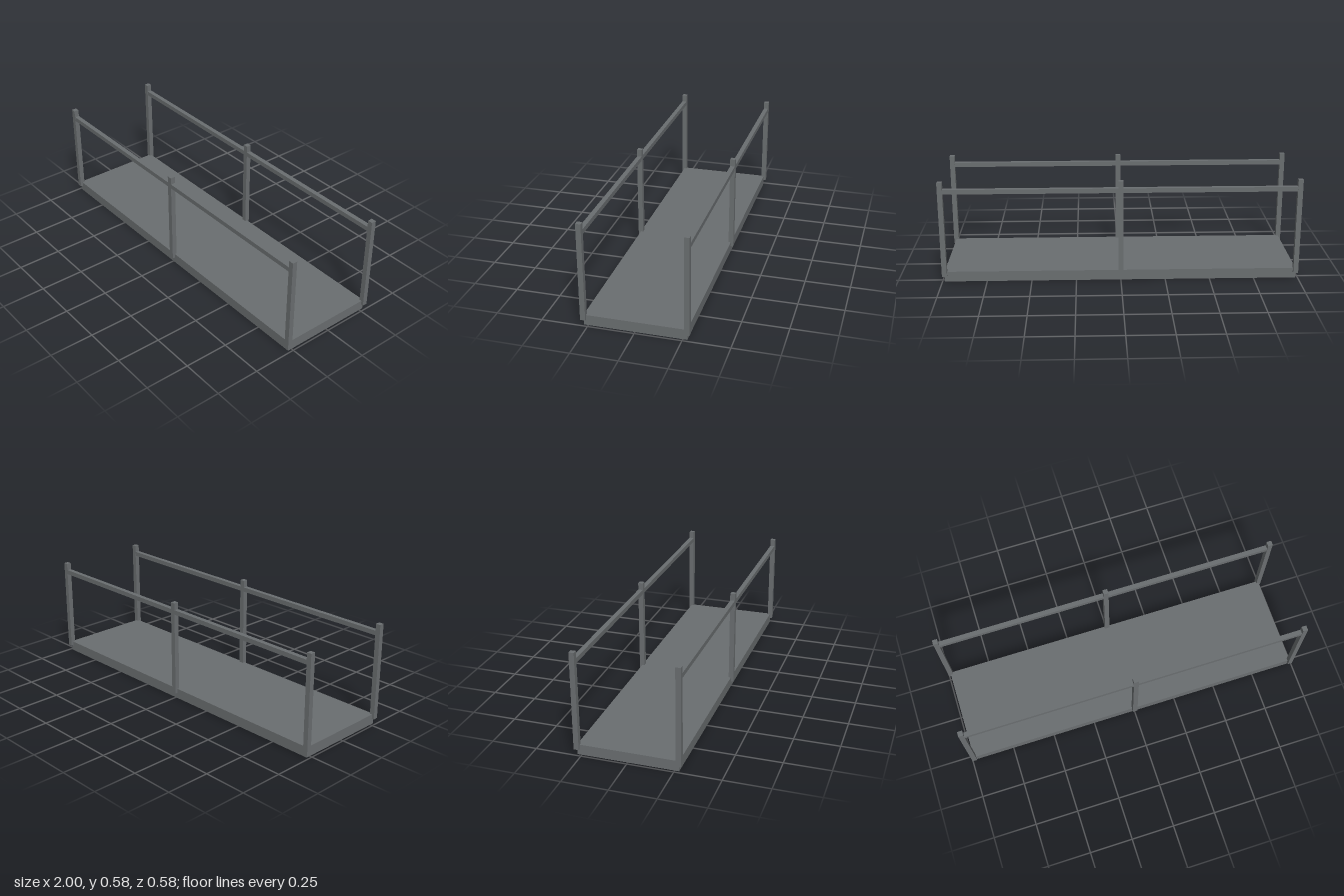
import * as THREE from 'three';

const steel = new THREE.MeshStandardMaterial({ color: 0x6a6e70 });

function addBox(parent, name, size, position) {
  const mesh = new THREE.Mesh(new THREE.BoxGeometry(...size), steel);
  mesh.name = name;
  mesh.position.set(...position);
  parent.add(mesh);
}

export function createModel() {
  const model = new THREE.Group();
  model.name = 'walkway';

  // Solid deck slab
  addBox(model, 'deck', [1.972, 0.058, 0.548], [0, 0.029, 0]);

  // Matching railings along both long edges
  for (const [side, s] of [['front', 1], ['back', -1]]) {
    const railing = new THREE.Group();
    railing.name = side + 'Railing';
    railing.position.z = s * 0.2745;
    model.add(railing);

    // Posts straddle the deck edge and rise just above the handrail
    [['right', -0.986], ['middle', 0], ['left', 0.986]].forEach(([place, x]) =>
      addBox(railing, place + 'Post', [0.028, 0.547, 0.028], [x, 0.3065, 0]));

    addBox(railing, 'handrail', [1.972, 0.026, 0.026], [0, 0.527, 0]);
  }
  return model;
}
